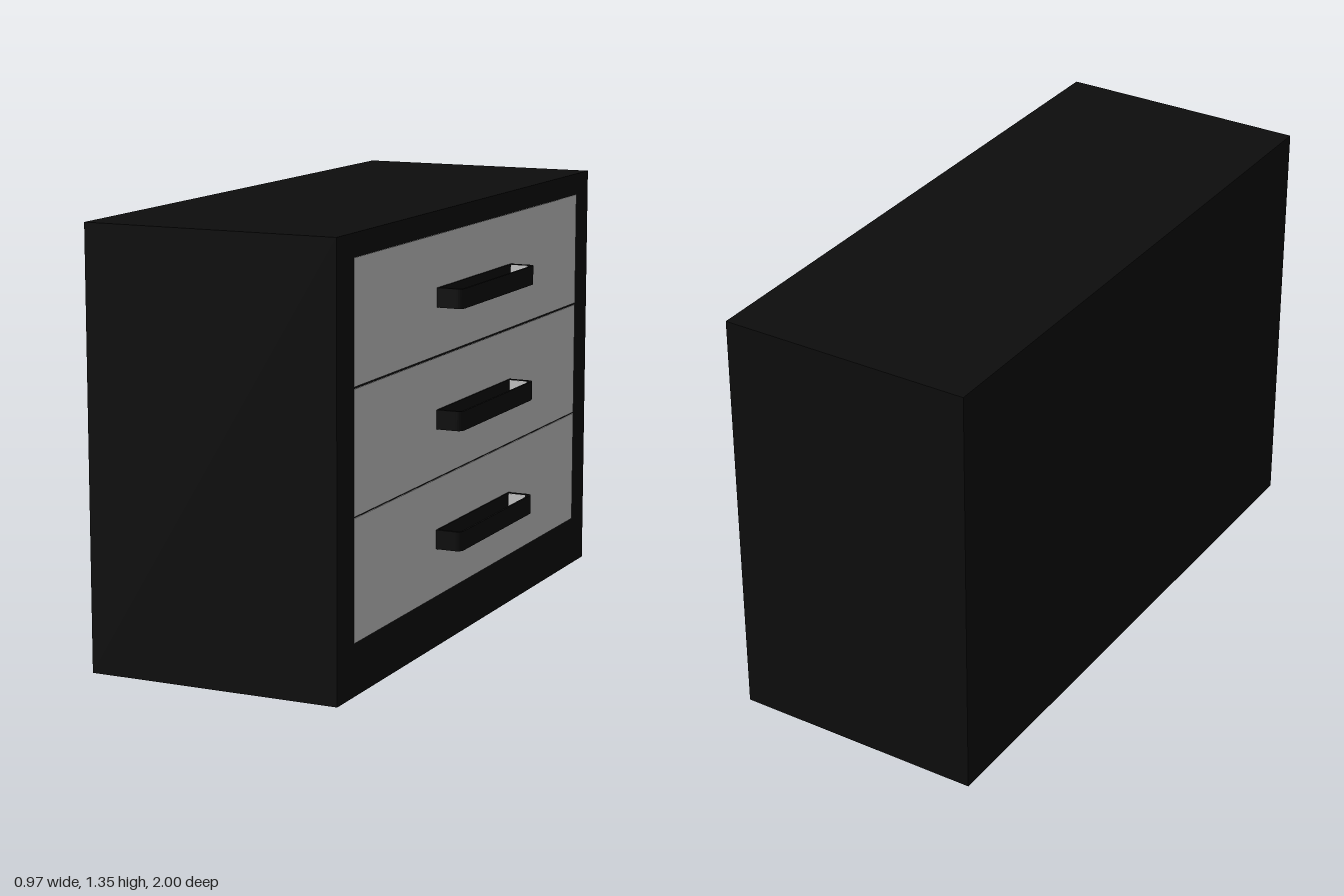
import * as THREE from 'three';

const black = new THREE.MeshStandardMaterial({ color: 0x0d0d0d });
const grey = new THREE.MeshStandardMaterial({ color: 0xcccccc });

const W = 0.806, H = 1.345, L = 1.95; // depth (x), height, length (z)
const FACE = W / 2;

function box(name, material, sx, sy, sz, x, y, z) {
  const mesh = new THREE.Mesh(new THREE.BoxGeometry(sx, sy, sz), material);
  mesh.name = name;
  mesh.position.set(x, y, z);
  return mesh;
}

// Flat-strip loop: back plate, two end tabs and a front bar with rounded corners
function handleGeometry(half, depth, height) {
  const r = 0.022, tab = 0.012, bar = 0.007, plate = 0.005, ri = 0.012;
  const outline = (Target, x0, x1, h, rad) => {
    const p = new Target();
    p.moveTo(x0, -h);
    p.lineTo(x1 - rad, -h);
    p.quadraticCurveTo(x1, -h, x1, -h + rad);
    p.lineTo(x1, h - rad);
    p.quadraticCurveTo(x1, h, x1 - rad, h);
    p.lineTo(x0, h);
    p.closePath();
    return p;
  };
  const shape = outline(THREE.Shape, 0, depth, half, r);
  shape.holes.push(outline(THREE.Path, plate, depth - bar, half - tab, ri));
  const g = new THREE.ExtrudeGeometry(shape, { depth: height, bevelEnabled: false, curveSegments: 6 });
  g.translate(0, 0, -height / 2);
  g.rotateX(Math.PI / 2);
  return g;
}

export function createModel() {
  const model = new THREE.Group();
  model.name = 'drawerChest';

  // Whole chest stands slightly turned
  const chest = new THREE.Group();
  chest.name = 'chest';
  chest.rotation.y = -0.0665;
  chest.position.x = -0.02;
  model.add(chest);

  chest.add(box('cabinet', black, W, H, L, 0, H / 2, 0));

  // Drawer fronts, nearly flush with the cabinet face, with fine gaps between
  const drawers = [[0.16, 0.528], [0.532, 0.902], [0.908, 1.275]];
  const handleGeo = handleGeometry(0.29, 0.084, 0.06);
  drawers.forEach(([y0, y1], i) => {
    const drawer = new THREE.Group();
    drawer.name = `drawer${i + 1}`;
    drawer.add(box('drawerFront', grey, 0.02, y1 - y0, 1.728, FACE - 0.008, (y0 + y1) / 2, 0));

    const y = 0.34 + i * 0.372;
    const handle = new THREE.Mesh(handleGeo, black);
    handle.name = 'handle';
    handle.position.set(FACE + 0.001, y, 0);
    drawer.add(handle);

    // Pale inner faces of the handle ends
    for (const s of [-1, 1]) {
      drawer.add(box('handleEndLining', grey, 0.058, 0.056, 0.002, FACE + 0.036, y, s * 0.2775));
    }
    chest.add(drawer);
  });

  return model;
}
